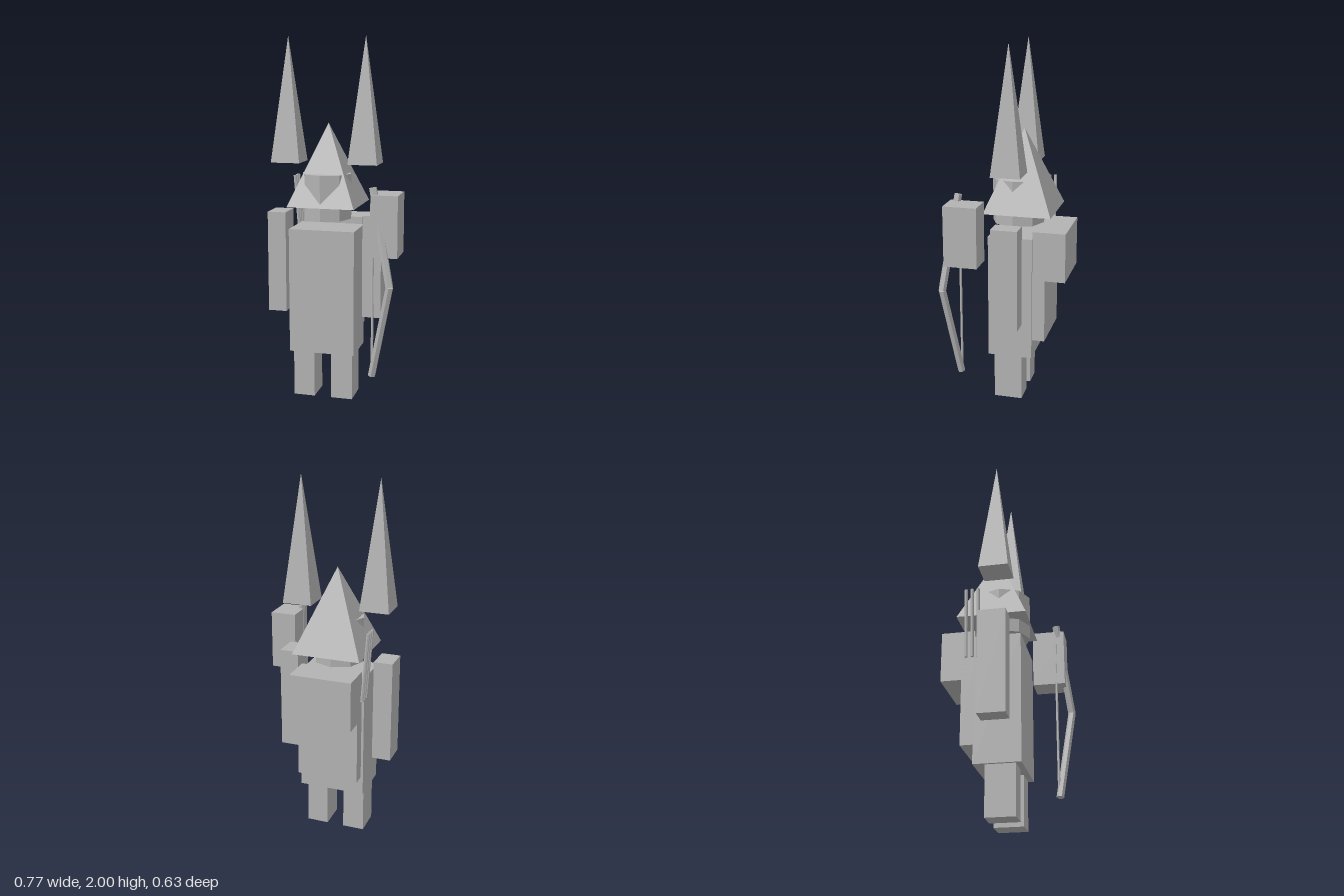
import * as THREE from 'three';

export function createModel() {
  const model = new THREE.Group();
  const grey = new THREE.MeshStandardMaterial({ color: 0xb2b2b2, flatShading: true });
  const CX = -0.067; // centre line of the figure

  function add(name, geometry) {
    const mesh = new THREE.Mesh(geometry, grey);
    mesh.name = name;
    model.add(mesh);
    return mesh;
  }

  // Box given by its limits on each axis
  function box(name, [x0, x1], [y0, y1], [z0, z1]) {
    add(name, new THREE.BoxGeometry(x1 - x0, y1 - y0, z1 - z0))
      .position.set((x0 + x1) / 2, (y0 + y1) / 2, (z0 + z1) / 2);
  }

  // Square pyramid with sides along the axes
  function pyramid(name, x, z, half, y0, y1) {
    const geometry = new THREE.ConeGeometry(half * Math.SQRT2, y1 - y0, 4);
    geometry.rotateY(Math.PI / 4);
    add(name, geometry).position.set(x, (y0 + y1) / 2, z);
  }

  // Six-sided rod between two points
  function rod(name, a, b, radius) {
    const from = new THREE.Vector3(...a);
    const to = new THREE.Vector3(...b);
    const dir = to.clone().sub(from);
    const mesh = add(name, new THREE.CylinderGeometry(radius, radius, dir.length(), 6));
    mesh.position.copy(from).add(to).multiplyScalar(0.5);
    mesh.quaternion.setFromUnitVectors(new THREE.Vector3(0, 1, 0), dir.normalize());
  }

  // Torso and pack
  box('torso', [-0.25, 0.117], [0.265, 0.96], [-0.137, 0.11]);
  box('backpack', [-0.237, 0.105], [0.37, 0.9], [-0.207, -0.13]);
  box('bedroll', [-0.237, 0.105], [0.725, 1.0], [-0.318, -0.137]);

  // Limbs and the tall spikes over the shoulders
  for (const [side, s] of [['right', -1], ['left', 1]]) {
    const leg = CX + s * 0.108;
    const arm = CX + s * 0.27;
    box(side + 'Leg', [leg - 0.06, leg + 0.06], [0, 0.265], [-0.077, 0.08]);
    box(side + 'Arm', [arm - 0.052, arm + 0.052], [0.477, 1.042], [-0.089, 0.057]);
    pyramid(side + 'Spike', CX + s * 0.216, -0.017, 0.081, 1.317, 2.0);
  }

  // Octagonal head pushing through the pointed hood
  const head = add('head', new THREE.CylinderGeometry(1, 1, 0.25, 8));
  head.scale.set(0.138, 1, 0.146);
  head.position.set(CX, 1.135, -0.017);
  pyramid('hood', -0.066, -0.05, 0.1875, 1.085, 1.533);

  // Arrows at the right shoulder
  for (const z of [-0.18, -0.147, -0.114]) {
    rod('arrow', [-0.252, 0.845, z], [-0.281, 1.229, z], 0.009);
  }

  // Separate block by the left hand, with the bow
  box('handBlock', [0.242, 0.385], [0.865, 1.19], [0.093, 0.273]);
  const grip = [0.35, 0.718, 0.295];
  rod('upperBowLimb', grip, [0.246, 1.225, 0.23], 0.021);
  rod('lowerBowLimb', [0.246, 0.21, 0.23], grip, 0.021);
  rod('bowString', [0.246, 0.215, 0.225], [0.246, 1.22, 0.225], 0.007);

  return model;
}
